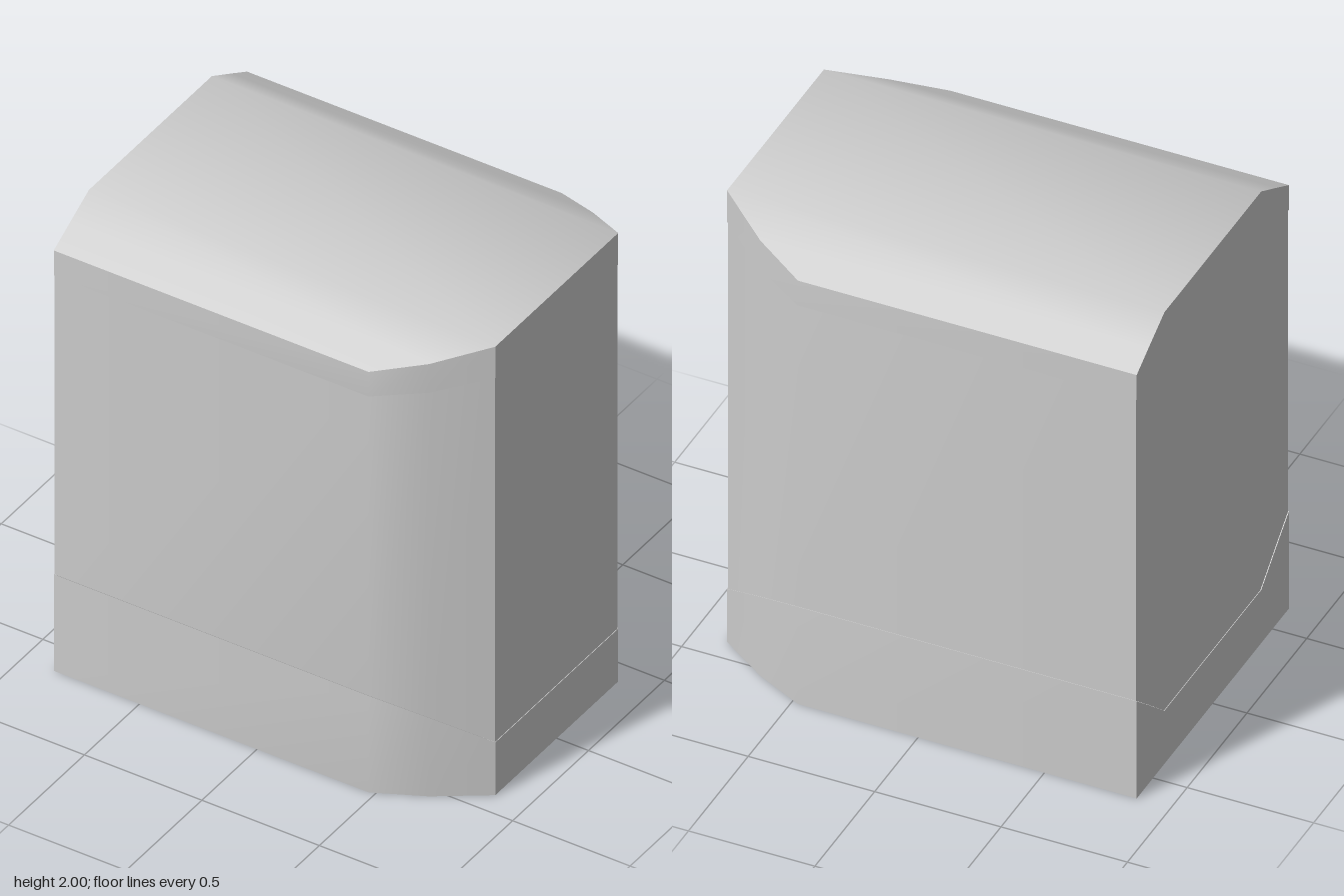
import * as THREE from 'three';
import { toCreasedNormals } from 'three/addons/utils/BufferGeometryUtils.js';

// Footprint corners: the chamfered +x end and the square -x end, both from +z to -z
const Z = [0.637, 0.54, 0.405, -0.405, -0.54, -0.637];
const FRONT_X = [0.475, 0.67, 0.865, 0.865, 0.67, 0.475];
const BACK_X = -0.865;

// A section between two folded sheets; heights are given from the outer edge to the middle
function section(name, low, high, inset, caps) {
  const at = (list, j) => list[Math.min(j, 5 - j)];
  const corner = (end, j, heights) => [
    (end ? BACK_X : FRONT_X[j]) * (1 - inset),
    at(heights, j),
    Z[j] * (1 - inset),
  ];
  const positions = [];
  const quad = (a, b, c, d) => positions.push(...a, ...b, ...c, ...a, ...c, ...d);

  // walls around the footprint
  const ring = [];
  for (let j = 0; j < 6; j++) ring.push([0, j]);
  for (let j = 5; j >= 0; j--) ring.push([1, j]);
  ring.forEach((p, i) => {
    const q = ring[(i + 1) % ring.length];
    quad(corner(...p, low), corner(...q, low), corner(...q, high), corner(...p, high));
  });

  // folded top and bottom sheets
  if (caps) {
    for (let j = 0; j < 5; j++) {
      quad(corner(0, j, high), corner(0, j + 1, high), corner(1, j + 1, high), corner(1, j, high));
      quad(corner(1, j, low), corner(1, j + 1, low), corner(0, j + 1, low), corner(0, j, low));
    }
  }

  const geometry = new THREE.BufferGeometry();
  geometry.setAttribute('position', new THREE.Float32BufferAttribute(positions, 3));
  const mesh = new THREE.Mesh(
    toCreasedNormals(geometry, 0.7),
    new THREE.MeshStandardMaterial({ color: 0xcccccc })
  );
  mesh.name = name;
  return mesh;
}

export function createModel() {
  const model = new THREE.Group();
  model.name = 'chamferedBlock';

  const ground = [0, 0, 0];
  const baseTop = [0.43, 0.35, 0.235];
  const lidBottom = [1.765, 1.8, 1.86];
  const roof = [1.875, 1.928, 2];

  model.add(
    section('base', ground, baseTop, 0, true),
    section('body', baseTop, lidBottom, 0.003, false),
    section('lid', lidBottom, roof, 0, true)
  );
  return model;
}
